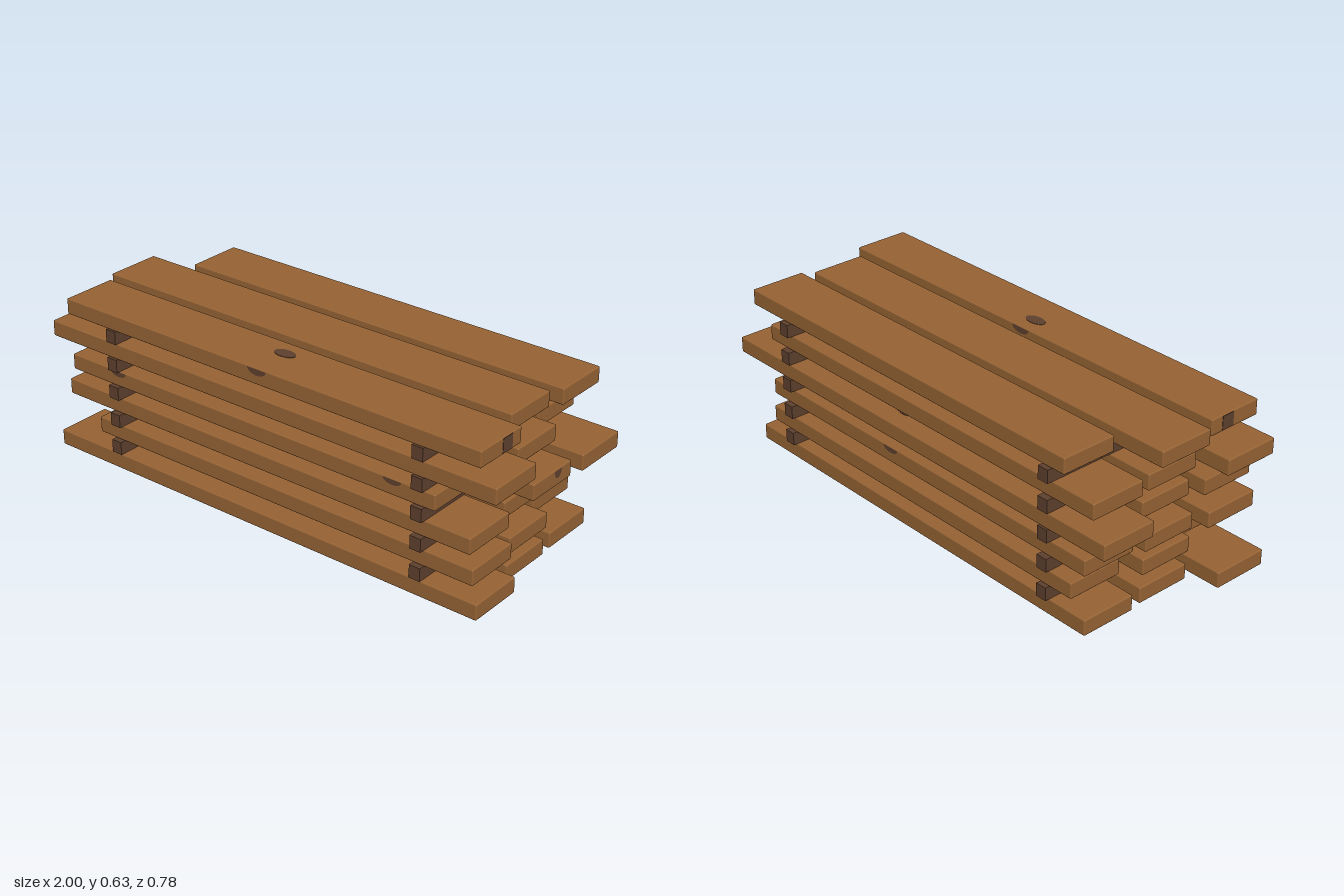
import * as THREE from 'three';
import { RoundedBoxGeometry } from 'three/addons/geometries/RoundedBoxGeometry.js';

const THICK = 0.062, WIDTH = 0.224, PITCH = 0.1129, BASE = 0.003;

// Each plank: [left end x, right end x, centre z]; each layer runs front, middle, back
const LAYERS = [
  [[-0.985, 0.94, 0.272], [-0.87, 0.88, 0.01], [-0.88, 0.875, -0.259]],
  [[-0.79, 0.91, 0.256], [-0.875, 0.89, 0.014], [-0.815, 0.8, -0.26]],
  [[-0.94, 0.895, 0.256], [-0.9, 0.85, -0.005], [-0.87, 0.8, -0.255]],
  [[-0.91, 0.755, 0.261], [-0.87, 0.965, 0.004], [-0.97, 0.98, -0.27]],
  [[-1.0, 0.995, 0.268], [-0.89, 0.9, 0.007], [-0.9, 0.805, -0.253]],
  [[-0.915, 0.933, 0.27], [-0.95, 0.865, 0.002], [-0.77, 0.895, -0.259]],
];

export function createModel() {
  const group = new THREE.Group();
  const wood = new THREE.MeshStandardMaterial({ color: 0x966334 });
  wood.name = 'wood';
  const darkWood = new THREE.MeshStandardMaterial({ color: 0x5e402e });
  darkWood.name = 'darkWood';

  const add = (geometry, material, name, x, y, z) => {
    const mesh = new THREE.Mesh(geometry, material);
    mesh.name = name;
    mesh.position.set(x, y, z);
    group.add(mesh);
    return mesh;
  };
  const bottom = (layer) => BASE + layer * PITCH;
  const top = (layer) => bottom(layer) + THICK;

  // Planks with softened edges
  LAYERS.forEach((planks, layer) => {
    planks.forEach(([x0, x1, z]) => {
      const geometry = new RoundedBoxGeometry(x1 - x0, THICK, WIDTH, 2, 0.005);
      add(geometry, wood, 'plank', (x0 + x1) / 2, bottom(layer) + THICK / 2, z);
    });
  });

  // Spacer sticks between the layers
  for (let layer = 0; layer < LAYERS.length - 1; layer++) {
    for (const x of [-0.69, 0.69]) {
      add(new THREE.BoxGeometry(0.045, PITCH - THICK, 0.776), darkWood, 'spacerStick',
        x, (top(layer) + bottom(layer + 1)) / 2, 0);
    }
  }

  // Oval knots on plank tops
  const topKnot = (layer, x, z) => {
    const knot = add(new THREE.CylinderGeometry(1, 1, 0.002, 20), darkWood, 'topKnot', x, top(layer) + 0.0005, z);
    knot.scale.set(0.045, 1, 0.026);
  };
  topKnot(5, 0.005, 0.232);
  topKnot(3, 0.11, -0.285);

  // Half-oval knots hanging from the top edge of a side or end face
  const half = new THREE.Shape();
  half.absarc(0, 0, 1, Math.PI, Math.PI * 2, false);
  const edgeKnot = (layer, x, z, turn, radius, drop) => {
    const knot = add(new THREE.ShapeGeometry(half, 12), darkWood, 'edgeKnot', x, top(layer) - 0.003, z);
    knot.rotation.y = turn;
    knot.scale.set(radius, drop, 1);
  };
  const face = WIDTH / 2 + 0.001;
  edgeKnot(5, 0.005, 0.27 + face, 0, 0.042, 0.024);
  edgeKnot(5, 0.005, 0.27 - face, Math.PI, 0.042, 0.024);
  edgeKnot(3, -0.675, 0.261 + face, 0, 0.038, 0.02);
  edgeKnot(3, 0.58, 0.261 + face, 0, 0.038, 0.02);
  edgeKnot(2, 0.11, -0.255 - face, Math.PI, 0.038, 0.02);
  edgeKnot(3, 0.966, -0.026, Math.PI / 2, 0.021, 0.031);

  // Square dark patches on both ends of the top front plank
  for (const x of [-0.915, 0.933]) {
    add(new THREE.BoxGeometry(0.003, 0.054, 0.053), darkWood, 'endPatch', x, bottom(5) + THICK / 2, 0.236);
  }
  return group;
}
